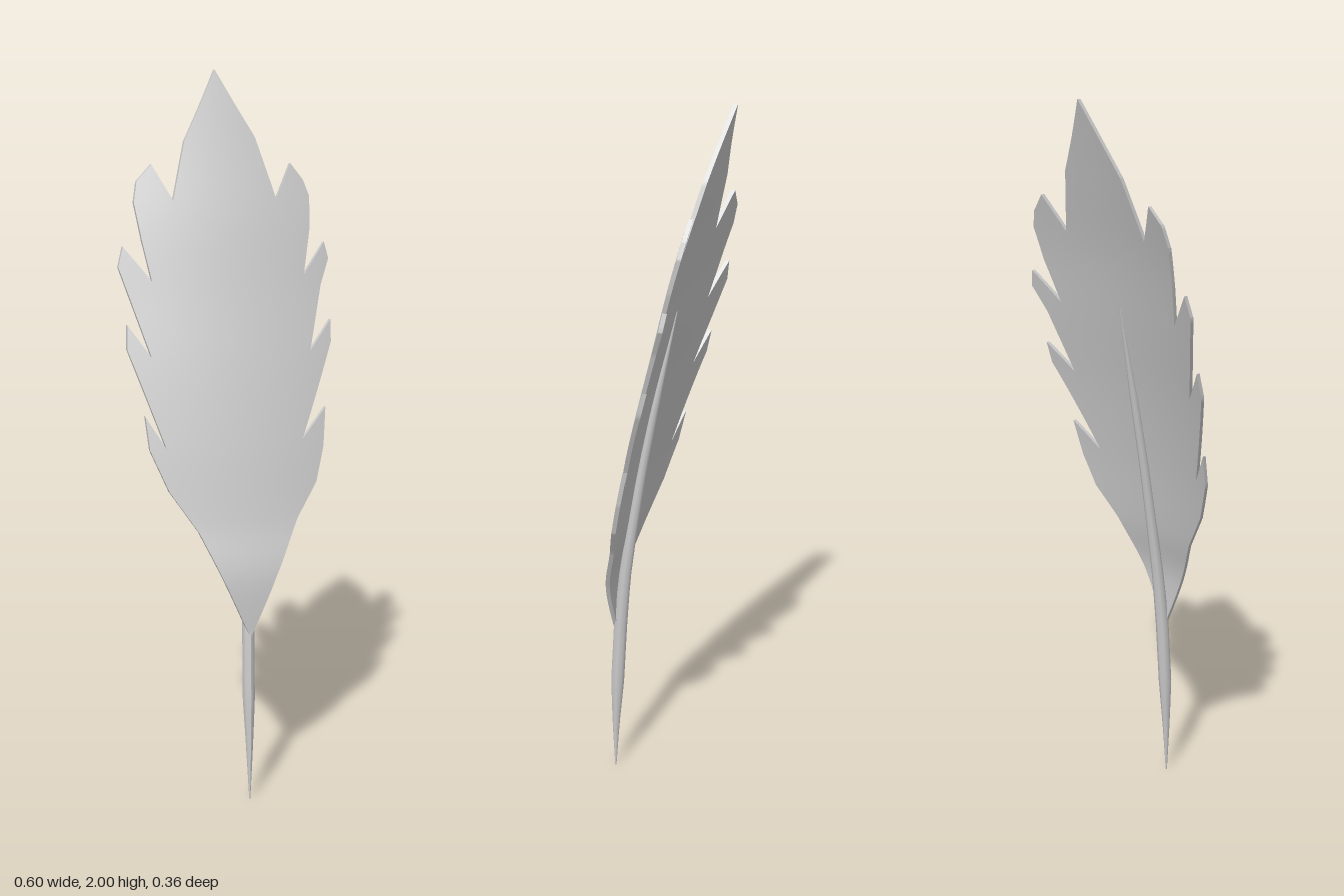
import * as THREE from 'three';
import { toCreasedNormals } from 'three/addons/utils/BufferGeometryUtils.js';

// Piecewise linear lookup in rows of [key, value, ...]
function lookup(rows, key, column) {
  let i = 1;
  while (i < rows.length - 1 && key > rows[i][0]) i++;
  const a = rows[i - 1], b = rows[i];
  const t = THREE.MathUtils.clamp((key - a[0]) / (b[0] - a[0]), 0, 1);
  return a[column] + (b[column] - a[column]) * t;
}

// Split every triangle into four at its edge midpoints
function subdivide(geometry) {
  const p = geometry.getAttribute('position');
  const out = [];
  const v = i => new THREE.Vector3().fromBufferAttribute(p, i);
  for (let i = 0; i < p.count; i += 3) {
    const a = v(i), b = v(i + 1), c = v(i + 2);
    const ab = a.clone().lerp(b, 0.5), bc = b.clone().lerp(c, 0.5), ca = c.clone().lerp(a, 0.5);
    for (const q of [a, ab, ca, ab, b, bc, ca, bc, c, ab, bc, ca]) out.push(q.x, q.y, q.z);
  }
  const g = new THREE.BufferGeometry();
  g.setAttribute('position', new THREE.Float32BufferAttribute(out, 3));
  return g;
}

// Blade outline: both edges from base to tip, with upward-pointing notched teeth
const LEFT_EDGE = [
  [-0.015, 0.48], [0.06, 0.65], [0.135, 0.8], [0.2, 0.89], [0.23, 0.985], [0.245, 1.09],
  [0.165, 1.01], [0.28, 1.265], [0.285, 1.325],
  [0.21, 1.245], [0.262, 1.42], [0.295, 1.49], [0.285, 1.535],
  [0.21, 1.45], [0.24, 1.57], [0.25, 1.66], [0.235, 1.705], [0.2, 1.75],
  [0.145, 1.655], [0.1, 1.82], [0.05, 1.91], [0.003, 2],
];
const RIGHT_EDGE = [
  [-0.088, 0.65], [-0.145, 0.78], [-0.215, 0.89], [-0.257, 1], [-0.263, 1.09],
  [-0.215, 1.005], [-0.295, 1.265], [-0.29, 1.33],
  [-0.235, 1.245], [-0.3, 1.48], [-0.285, 1.535],
  [-0.218, 1.445], [-0.235, 1.55], [-0.247, 1.65], [-0.235, 1.705], [-0.193, 1.75],
  [-0.145, 1.655], [-0.1, 1.81], [-0.05, 1.9],
];

// Backward sweep of the blade: [y, z]
const SWEEP = new THREE.SplineCurve([
  [0.48, 0.16], [0.65, 0.158], [0.8, 0.125], [1, 0.088], [1.2, 0.045],
  [1.4, -0.005], [1.6, -0.055], [1.8, -0.115], [2, -0.175],
].map(p => new THREE.Vector2(...p))).getPoints(64).map(p => [p.x, p.y]);

// Quill stations: [y, x, z, radius]
const QUILL = [
  [0, -0.018, 0.168, 0.002], [0.15, -0.018, 0.165, 0.011], [0.3, -0.018, 0.158, 0.02],
  [0.5, -0.015, 0.145, 0.02], [0.65, -0.01, 0.13, 0.018], [0.8, -0.006, 0.107, 0.016],
  [1, -0.003, 0.073, 0.014], [1.2, 0, 0.033, 0.012], [1.46, 0, -0.026, 0.002],
];

function bladeGeometry() {
  const outline = [...LEFT_EDGE, ...RIGHT_EDGE.slice().reverse()];
  const shape = new THREE.Shape(outline.map(p => new THREE.Vector2(...p)));
  const thickness = 0.012;
  let g = new THREE.ExtrudeGeometry(shape, { depth: thickness, bevelEnabled: false });
  g = g.index ? g.toNonIndexed() : g;
  for (let i = 0; i < 4; i++) g = subdivide(g);
  // Sweep backwards, with a slight twist and sides cupped to the back
  const p = g.getAttribute('position');
  for (let i = 0; i < p.count; i++) {
    const x = p.getX(i), y = p.getY(i);
    p.setZ(i, p.getZ(i) - thickness / 2 + lookup(SWEEP, y, 1) + 0.077 * x - 0.55 * x * x);
  }
  return toCreasedNormals(g, 0.7);
}

function quillGeometry() {
  // Tapered tube following the back of the blade
  const g = new THREE.CylinderGeometry(1, 1, 1, 8, 24);
  const p = g.getAttribute('position');
  for (let i = 0; i < p.count; i++) {
    const y = (p.getY(i) + 0.5) * 1.46;
    const r = lookup(QUILL, y, 3);
    p.setXYZ(i, lookup(QUILL, y, 1) + p.getX(i) * r * 0.9, y, lookup(QUILL, y, 2) + p.getZ(i) * r);
  }
  g.computeVertexNormals();
  return g;
}

export function createModel() {
  const group = new THREE.Group();
  group.name = 'feather';
  const material = new THREE.MeshStandardMaterial({ color: 0xcccccc });
  const add = (name, geometry) => {
    const mesh = new THREE.Mesh(geometry, material);
    mesh.name = name;
    group.add(mesh);
  };
  add('blade', bladeGeometry());
  add('quill', quillGeometry());
  return group;
}
